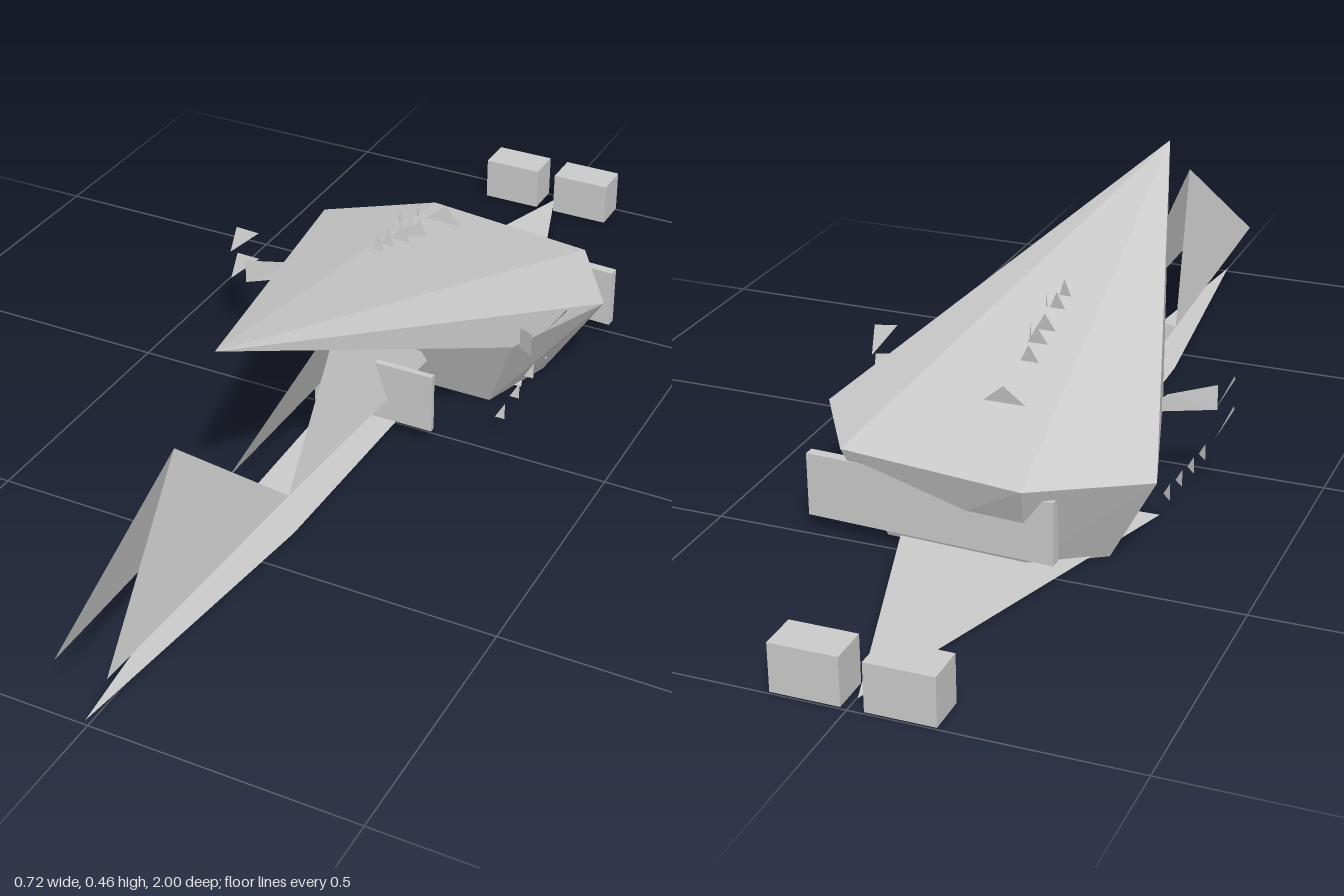
import * as THREE from 'three';

const material = new THREE.MeshStandardMaterial({ color: 0xcccccc, flatShading: true, side: THREE.DoubleSide });
const CX = -0.005; // mirror line of the paired sheets

// Flat polygons, each a short loop of corners, fanned into triangles
function sheets(name, polygons) {
  const pos = [];
  for (const p of polygons) {
    for (let i = 1; i < p.length - 1; i++) pos.push(...p[0], ...p[i], ...p[i + 1]);
  }
  const geo = new THREE.BufferGeometry();
  geo.setAttribute('position', new THREE.Float32BufferAttribute(pos, 3));
  geo.computeVertexNormals();
  const mesh = new THREE.Mesh(geo, material);
  mesh.name = name;
  return mesh;
}

function box(name, size, position, turn = 0) {
  const mesh = new THREE.Mesh(new THREE.BoxGeometry(...size), material);
  mesh.name = name;
  mesh.position.set(...position);
  mesh.rotation.y = turn;
  return mesh;
}

// Polygon plus its reflection across the centre line
const mirrored = (poly) => [poly, poly.map(([x, y, z]) => [2 * CX - x, y, z]).reverse()];

// Walls between two rings with the same number of corners
const walls = (a, b) => a.map((p, i) => {
  const j = (i + 1) % a.length;
  return [p, a[j], b[j], b[i]];
});

export function createModel() {
  const model = new THREE.Group();
  model.name = 'facetedSkiff';

  // Flared hull, open underneath
  const base = [[-0.175, 0, -0.155], [0.195, 0, -0.155], [0.245, 0, -0.31], [0.185, 0, -0.455], [-0.09, 0, -0.47], [-0.215, 0, -0.39]];
  const rim = [[-0.21, 0.18, -0.09], [0.265, 0.18, -0.09], [0.362, 0.18, -0.32], [0.25, 0.18, -0.5], [-0.11, 0.18, -0.545], [-0.31, 0.175, -0.42]];
  model.add(sheets('hull', walls(base, rim)));

  // Canopy running from the hull rim to a raised nose
  const nose = [CX, 0.458, 0.55];
  model.add(sheets('canopy', rim.map((p, i) => [p, rim[(i + 1) % rim.length], nose])));

  // Flat keel: long front blade and wide tail triangle
  model.add(sheets('frontBlade', [[[CX, 0.008, 1], [0.06, 0.008, 0.41], [0.07, 0.008, -0.1], [-0.08, 0.008, -0.1], [-0.07, 0.008, 0.41]]]));
  model.add(sheets('tailSheet', [[[CX, 0.005, -0.97], [-0.25, 0.005, -0.22], [0.235, 0.005, -0.22]]]));

  // Two pairs of leaning fins meeting at a peak
  model.add(sheets('frontFins', mirrored([[0.045, 0.115, 1], [CX, 0.35, 0.69], [0.057, 0.097, 0.42]])));
  model.add(sheets('middleFins', mirrored([[0.057, 0.097, 0.42], [CX, 0.283, 0.1], [0.07, 0.07, -0.15]])));

  // Upright panels before and behind the hull
  model.add(box('frontPanel', [0.25, 0.122, 0.012], [0.034, 0.095, 0.035]));
  model.add(box('rearPanel', [0.48, 0.122, 0.02], [0.082, 0.095, -0.495], -0.05));

  // Tail blocks
  for (const x of [-0.092, 0.073]) model.add(box('tailBlock', [0.124, 0.09, 0.075], [x, 0.048, -0.962]));

  // Side winglets and tip blades
  model.add(sheets('winglets', mirrored([[0.305, 0.22, -0.09], [0.305, 0.17, -0.09], [0.18, 0.178, -0.165], [0.225, 0.21, -0.14]])));
  for (const [y, z] of [[0.26, -0.14], [0.2, -0.14]]) {
    model.add(sheets('tipBlades', mirrored([[0.352, y, z], [0.333, y - 0.022, z + 0.06], [0.333, y - 0.038, z - 0.055]])));
  }

  // Small spikes along the canopy ridge
  for (const [y, z, w] of [[0.25, -0.36, 0.04], [0.28, -0.24, 0.018], [0.3, -0.2, 0.02], [0.31, -0.16, 0.02], [0.33, -0.1, 0.015], [0.34, -0.06, 0.012]]) {
    model.add(sheets('ridgeSpike', [[[CX - w, y, z], [CX + w, y, z], [CX, y + 0.035, z - 0.005]]]));
  }
  for (const z of [-0.155, -0.235]) {
    model.add(sheets('floatingSpike', [[[CX, 0.355 + (z + 0.155) * 0.35, z - 0.004], [CX, 0.355 + (z + 0.155) * 0.35, z + 0.004], [CX, 0.385 + (z + 0.155) * 0.35, z]]]));
  }

  // Loose shards beside the hull
  for (const z of [-0.26, -0.19, -0.12, -0.05]) {
    const y = 0.065 - (z + 0.15) * 0.08;
    model.add(sheets('sideShards', mirrored([[0.272, y - 0.015, z], [0.256, y - 0.008, z + 0.01], [0.272, y + 0.02, z]])));
  }
  return model;
}
